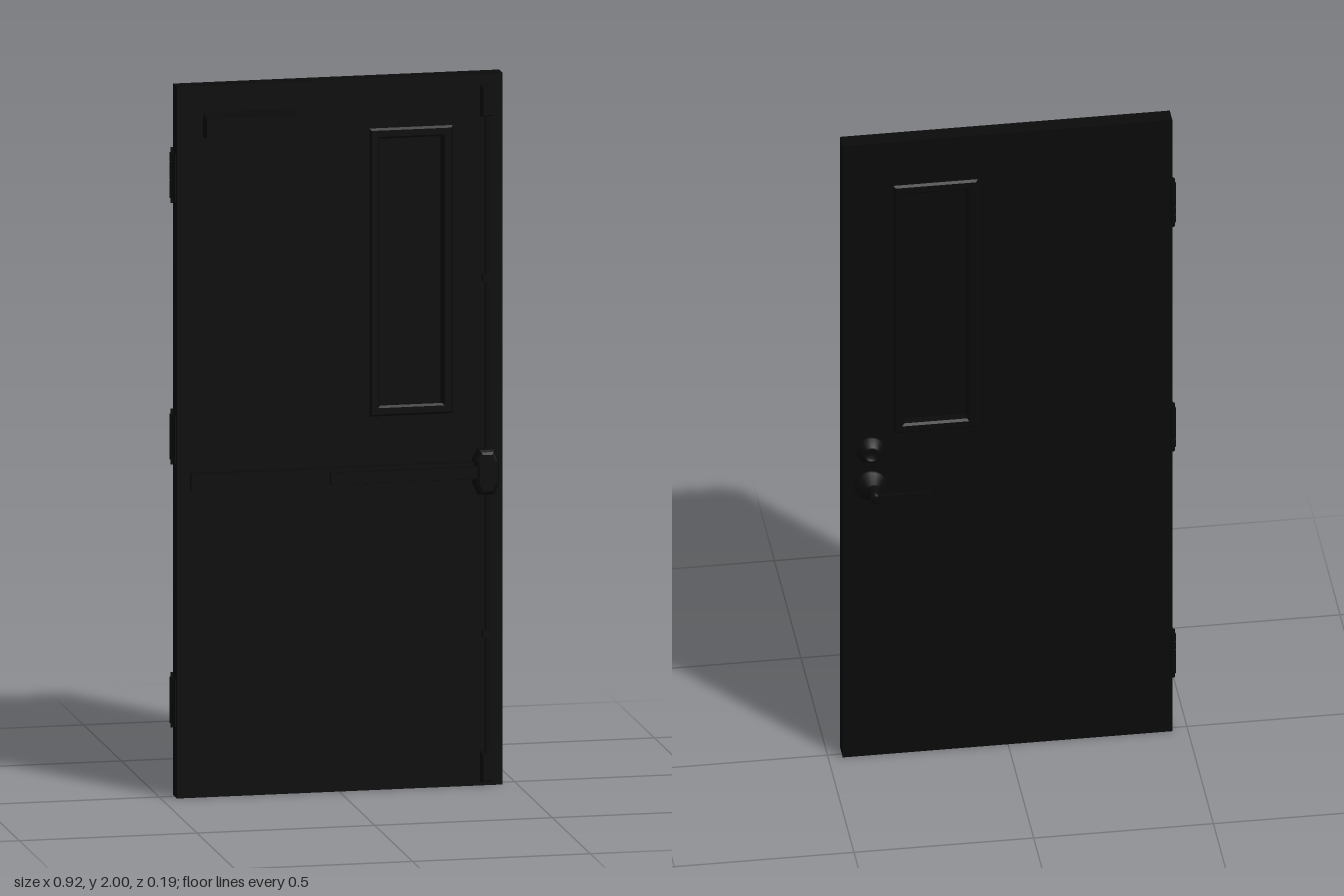
import * as THREE from 'three';

const dark = new THREE.MeshStandardMaterial({ color: 0x0a0a0a });

function add(parent, name, geometry, x = 0, y = 0, z = 0) {
  const mesh = new THREE.Mesh(geometry, dark);
  mesh.name = name;
  mesh.position.set(x, y, z);
  parent.add(mesh);
  return mesh;
}

// Box given by its limits
function box(parent, name, x0, x1, y0, y1, z0, z1) {
  return add(parent, name, new THREE.BoxGeometry(x1 - x0, y1 - y0, z1 - z0),
    (x0 + x1) / 2, (y0 + y1) / 2, (z0 + z1) / 2);
}

// Box whose front (+z) face is scaled by sx, sy
function taperedBox(parent, name, x0, x1, y0, y1, z0, z1, sx, sy) {
  const mesh = box(parent, name, x0, x1, y0, y1, z0, z1);
  const p = mesh.geometry.attributes.position;
  for (let i = 0; i < p.count; i++) {
    if (p.getZ(i) > 0) p.setXY(i, p.getX(i) * sx, p.getY(i) * sy);
  }
  mesh.geometry.computeVertexNormals();
  return mesh;
}

function rect(path, x0, x1, y0, y1) {
  path.moveTo(x0, y0);
  path.lineTo(x1, y0);
  path.lineTo(x1, y1);
  path.lineTo(x0, y1);
  path.closePath();
  return path;
}

// Rectangular panel with a rectangular opening
function ring(outer, inner, depth, bevel = 0) {
  const shape = rect(new THREE.Shape(), ...outer);
  shape.holes.push(rect(new THREE.Path(), ...inner));
  return new THREE.ExtrudeGeometry(shape, {
    depth, bevelEnabled: bevel > 0, bevelSize: bevel, bevelThickness: bevel,
    bevelOffset: -bevel, bevelSegments: 1,
  });
}

// Turned part facing backward; profile holds [radius, depth] pairs
function turned(parent, name, profile, x, y, z, sides = 20) {
  const g = new THREE.LatheGeometry(profile.map(([r, d]) => new THREE.Vector2(r, d)), sides);
  g.rotateX(-Math.PI / 2);
  return add(parent, name, g, x, y, z);
}

export function createModel() {
  const door = new THREE.Group();
  door.name = 'door';

  // Slab with window opening
  add(door, 'slab', ring([-0.457, 0.46, 0, 2], [0.115, 0.29, 1.08, 1.83], 0.049), 0, 0, -0.018);

  // Window trim on both faces, glass between
  const win = new THREE.Group();
  win.name = 'window';
  door.add(win);
  for (const z of [-0.022, 0.027]) {
    add(win, 'windowTrim', ring([0.085, 0.32, 1.05, 1.86], [0.115, 0.29, 1.08, 1.83], 0.004, 0.006), 0, 0, z);
  }
  box(win, 'glass', 0.11, 0.295, 1.075, 1.835, 0.003, 0.01);

  // Closer body
  const closer = new THREE.Group();
  closer.name = 'closer';
  door.add(closer);
  box(closer, 'closerPlate', -0.38, -0.14, 1.865, 1.925, 0.03, 0.052);
  taperedBox(closer, 'closerBody', -0.388, -0.13, 1.858, 1.928, 0.05, 0.097, 0.99, 0.75);

  // Push bar
  const bar = new THREE.Group();
  bar.name = 'pushBar';
  door.add(bar);
  taperedBox(bar, 'pushBarRail', -0.42, 0.39, 0.862, 0.915, 0.03, 0.052, 1, 0.88);
  taperedBox(bar, 'pushBarPad', -0.03, 0.385, 0.867, 0.905, 0.05, 0.065, 1, 0.8);

  // Eight-sided bar head
  const cap = new THREE.Shape();
  [[-0.022, -0.065], [0.022, -0.065], [0.036, -0.035], [0.036, 0.035],
    [0.022, 0.065], [-0.022, 0.065], [-0.036, 0.035], [-0.036, -0.035]]
    .forEach(([x, y], i) => (i ? cap.lineTo(x, y) : cap.moveTo(x, y)));
  add(bar, 'pushBarHead', new THREE.ExtrudeGeometry(cap, {
    depth: 0.015, bevelThickness: 0.022, bevelSize: 0.014, bevelOffset: -0.014, bevelSegments: 3,
  }), 0.41, 0.885, 0.031);

  // Vertical latch rod, guides and end latches
  const rod = new THREE.Group();
  rod.name = 'verticalRod';
  door.add(rod);
  add(rod, 'rod', new THREE.CylinderGeometry(0.006, 0.006, 1.92, 10), 0.412, 1, 0.043);
  for (const y of [0.43, 1.43]) box(rod, 'rodGuide', 0.4, 0.424, y - 0.01, y + 0.01, 0.03, 0.054);
  taperedBox(rod, 'topLatch', 0.396, 0.43, 1.88, 1.972, 0.03, 0.06, 0.8, 0.8);
  taperedBox(rod, 'bottomLatch', 0.396, 0.43, 0.01, 0.1, 0.03, 0.062, 0.8, 0.8);

  // Hinges on the back edge
  for (const y of [0.265, 1.005, 1.74]) {
    const hinge = new THREE.Group();
    hinge.name = 'hinge';
    hinge.position.y = y;
    door.add(hinge);
    box(hinge, 'hingeLeaf', -0.46, -0.45, -0.065, 0.065, -0.033, 0.02);
    for (let i = 0; i < 5; i++) {
      add(hinge, 'hingeKnuckle', new THREE.CylinderGeometry(0.0075, 0.0075, 0.024, 10), -0.457, (i - 2) * 0.026, -0.032);
    }
    add(hinge, 'hingePin', new THREE.CylinderGeometry(0.005, 0.005, 0.155, 8), -0.457, 0, -0.032);
  }

  // Lever handle on the back
  const handle = new THREE.Group();
  handle.name = 'handle';
  door.add(handle);
  turned(handle, 'handleRose', [[0.045, 0], [0.045, 0.01], [0.022, 0.033], [0, 0.033]], 0.383, 0.885, -0.017);
  turned(handle, 'handleNeck', [[0.02, 0], [0.013, 0.035], [0.013, 0.055], [0, 0.055]], 0.378, 0.885, -0.043);
  const lever = new THREE.Shape();
  [[0.393, -0.098], [0.393, -0.084], [0.36, -0.084], [0.34, -0.089], [0.23, -0.092],
    [0.22, -0.06], [0.216, -0.062], [0.227, -0.098]]
    .forEach(([x, z], i) => (i ? lever.lineTo(x, -z) : lever.moveTo(x, -z)));
  const leverGeometry = new THREE.ExtrudeGeometry(lever, { depth: 0.024, bevelEnabled: false });
  leverGeometry.rotateX(-Math.PI / 2);
  add(handle, 'lever', leverGeometry, 0, 0.873, 0);

  // Lock cylinder above the handle
  turned(door, 'lockCylinder', [[0.04, 0], [0.04, 0.008], [0.024, 0.028], [0.018, 0.028], [0.016, 0.022], [0, 0.022]], 0.383, 1.0, -0.017);

  return door;
}
